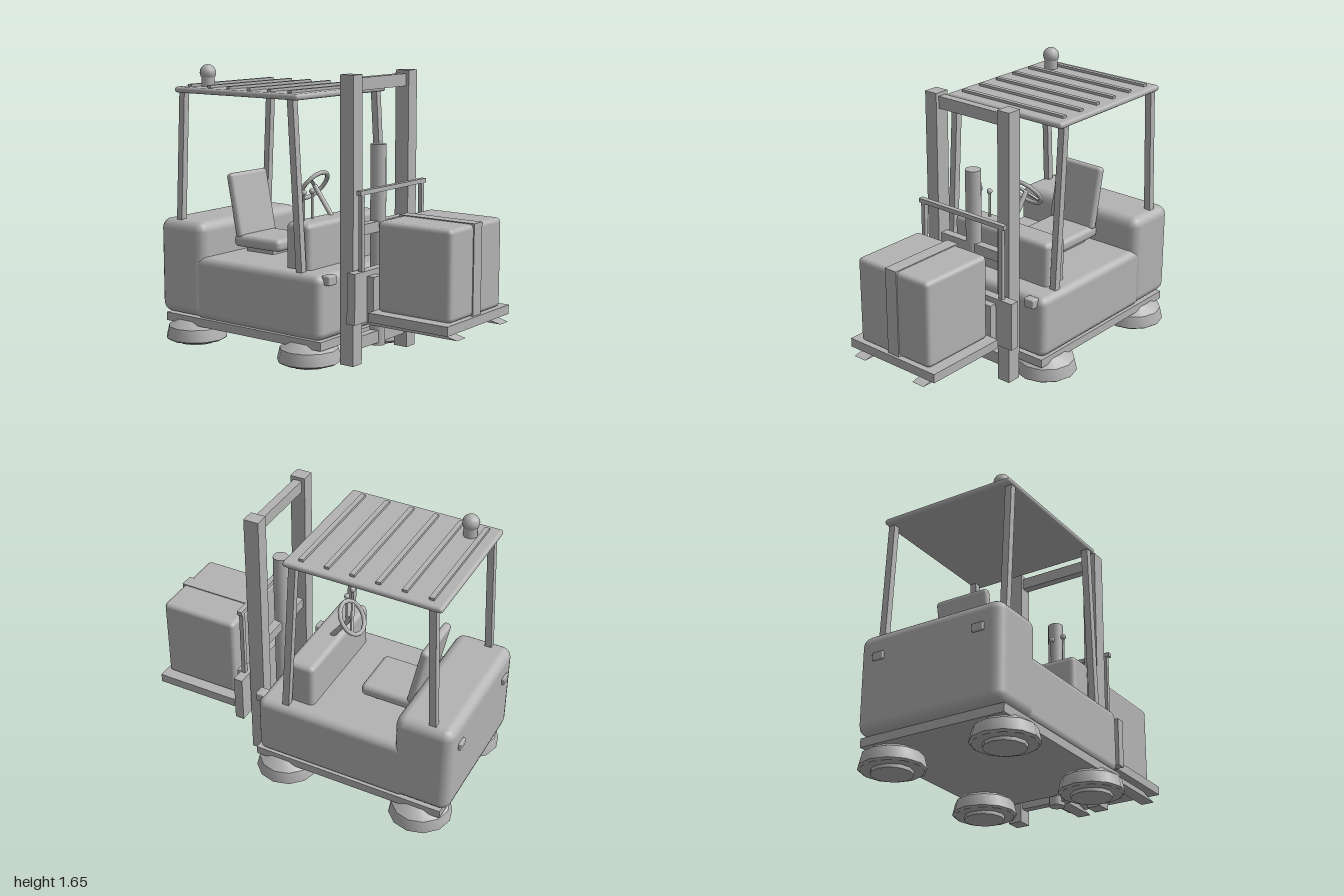
import * as THREE from 'three';
import { toCreasedNormals } from 'three/addons/utils/BufferGeometryUtils.js';
import { RoundedBoxGeometry } from 'three/addons/geometries/RoundedBoxGeometry.js';

export function createModel() {
  const model = new THREE.Group();
  model.name = 'forklift';
  const grey = new THREE.MeshStandardMaterial({ color: 0xb3b3b3 });
  grey.name = 'grey';

  const add = (name, geometry, x = 0, y = 0, z = 0) => {
    const mesh = new THREE.Mesh(geometry, grey);
    mesh.name = name;
    mesh.position.set(x, y, z);
    model.add(mesh);
    return mesh;
  };
  // Box from its limits on each axis, with optional rounded edges
  const box = (name, [x0, x1], [y0, y1], [z0, z1], r = 0) => {
    const s = [x1 - x0, y1 - y0, z1 - z0];
    const g = r ? new RoundedBoxGeometry(...s, 2, r) : new THREE.BoxGeometry(...s);
    return add(name, g, (x0 + x1) / 2, (y0 + y1) / 2, (z0 + z1) / 2);
  };
  // Round rod between two points
  const rod = (name, a, b, r, sides = 10) => {
    const p = new THREE.Vector3(...a), q = new THREE.Vector3(...b);
    const d = q.clone().sub(p);
    const m = add(name, new THREE.CylinderGeometry(r, r, d.length(), sides));
    m.position.copy(p).add(q).multiplyScalar(0.5);
    m.quaternion.setFromUnitVectors(new THREE.Vector3(0, 1, 0), d.normalize());
    return m;
  };
  // Shape in the x-y plane, extruded along z about a centre
  const slab = (name, points, width, z) => {
    const shape = new THREE.Shape(points.map(([x, y]) => new THREE.Vector2(x, y)));
    const g = new THREE.ExtrudeGeometry(shape, { depth: width, bevelEnabled: false });
    return add(name, g, 0, 0, z - width / 2);
  };

  // Body
  box('chassisPlate', [-0.94, 0.23], [0.12, 0.17], [-0.445, 0.445]);
  box('body', [-0.72, 0.22], [0.165, 0.535], [-0.445, 0.445], 0.045);
  box('counterweight', [-0.985, -0.64], [0.17, 0.74], [-0.45, 0.45], 0.06);
  box('dashboard', [-0.095, 0.075], [0.5, 0.795], [-0.35, 0.35], 0.03);

  // Wheels lie flat, with stepped hubs underneath
  const profile = [[0, 0], [0.115, 0], [0.115, 0.02], [0.17, 0.02], [0.184, 0.03],
    [0.168, 0.1], [0.11, 0.14], [0, 0.14]].map(([x, y]) => new THREE.Vector2(x, y));
  const wheelGeometry = toCreasedNormals(new THREE.LatheGeometry(profile, 12), 0.6);
  for (const x of [-0.785, 0.075])
    for (const z of [-0.35, 0.35]) add('wheel', wheelGeometry, x, 0, z);

  // Seat
  box('seatBase', [-0.58, -0.38], [0.53, 0.57], [-0.12, 0.12]);
  box('seatCushion', [-0.65, -0.3], [0.56, 0.635], [-0.165, 0.165], 0.03);
  box('seatBack', [-0.67, -0.62], [0.61, 1.0], [-0.165, 0.165], 0.022).rotation.z = 0.2;

  // Steering wheel and levers
  rod('steeringColumn', [-0.16, 0.955, 0], [-0.03, 0.78, 0], 0.015);
  const steering = new THREE.Group();
  steering.name = 'steeringWheel';
  steering.position.set(-0.163, 0.955, 0);
  steering.quaternion.setFromUnitVectors(new THREE.Vector3(0, 0, 1), new THREE.Vector3(-0.8, 0.6, 0));
  const rim = new THREE.Mesh(new THREE.TorusGeometry(0.1, 0.013, 8, 16), grey);
  rim.name = 'rim';
  const spoke = new THREE.Mesh(new THREE.BoxGeometry(0.19, 0.018, 0.012), grey);
  spoke.name = 'spoke';
  steering.add(rim, spoke);
  model.add(steering);
  for (const z of [0.175, 0.25]) {
    rod('lever', [-0.04, 0.78, z], [-0.04, 0.95, z], 0.007, 8);
    add('leverKnob', new THREE.SphereGeometry(0.017, 10, 8), -0.04, 0.952, z);
  }

  // Overhead guard
  box('roof', [-0.87, 0.05], [1.485, 1.52], [-0.418, 0.418], 0.016);
  for (let i = 0; i < 6; i++) {
    const x = -0.79 + i * 0.15;
    box('roofRib', [x - 0.014, x + 0.014], [1.51, 1.535], [-0.37, 0.37]);
  }
  for (const z of [-0.39, 0.39]) {
    slab('frontPillar', [[0.03, 0.53], [0.072, 0.53], [0.014, 1.495], [-0.028, 1.495]], 0.04, z);
    slab('rearPillar', [[-0.875, 0.71], [-0.835, 0.71], [-0.795, 1.495], [-0.835, 1.495]], 0.04, z);
  }
  // Beacon
  rod('beaconBase', [-0.728, 1.51, 0.28], [-0.728, 1.59, 0.28], 0.04, 12);
  add('beaconDome', new THREE.SphereGeometry(0.049, 12, 8), -0.728, 1.6, 0.28);

  // Mast
  for (const s of [-1, 1]) {
    const span = (a, b) => (s > 0 ? [a, b] : [-b, -a]);
    box('mastRail', [0.255, 0.345], [0.02, 1.63], span(0.22, 0.302));
    rod('tiltCylinder', [0.18, 0.35, s * 0.17], [0.28, 0.29, s * 0.17], 0.026);
    box('headlight', [0.2, 0.255], [0.48, 0.535], span(0.33, 0.4), 0.008);
    box('rearLight', [-1, -0.97], [0.57, 0.615], span(0.28, 0.35), 0.006);
    // Forks and load guard posts
    box('forkUpright', [0.41, 0.455], [0.265, 0.535], span(0.18, 0.262));
    slab('forkTine', [[0.41, 0.265], [0.995, 0.265], [0.85, 0.297], [0.41, 0.297]], 0.082, s * 0.221);
    box('guardPost', [0.378, 0.402], [0.54, 0.99], span(0.275, 0.3));
  }
  for (const [y0, y1] of [[0.1, 0.17], [0.74, 0.8], [1.54, 1.61]])
    box('mastCrossbar', [0.275, 0.325], [y0, y1], [-0.225, 0.225]);
  rod('liftCylinder', [0.295, 0.08, 0], [0.295, 1.23, 0], 0.045, 14);

  // Carriage and load guard
  box('carriage', [0.355, 0.412], [0.28, 0.565], [-0.375, 0.375]).scale.x = 0.95;
  box('guardTopBar', [0.375, 0.405], [0.985, 1.01], [-0.315, 0.315]);

  // Pallet and crate with strap
  box('pallet', [0.455, 0.967], [0.295, 0.347], [-0.315, 0.315]);
  box('crate', [0.474, 0.946], [0.345, 0.848], [-0.258, 0.258], 0.026);
  box('strap', [0.468, 0.952], [0.345, 0.853], [-0.04, 0.04]);

  return model;
}
